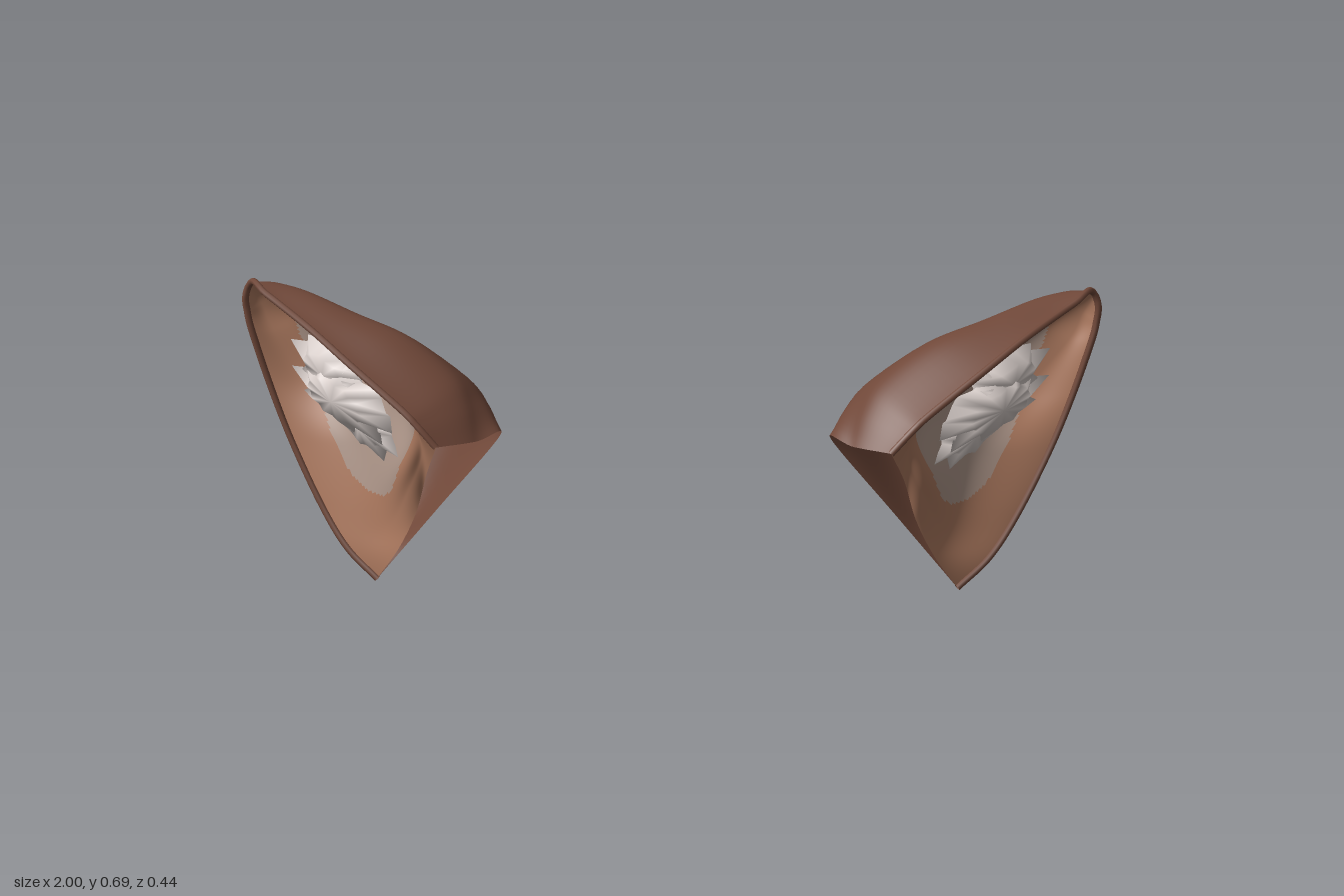
import * as THREE from 'three';

const mat = (name, color) => {
  const m = new THREE.MeshStandardMaterial({ color, side: THREE.DoubleSide });
  m.name = name;
  return m;
};

// Cross-sections from tip to base; each runs from the front rim to the back rim
const TIP = [[.945, .679, -.11], [.958, .683, -.13], [.969, .679, -.147], [.981, .665, -.156], [.99, .637, -.156]];
const FRONT = [[.928, .67, -.09], [.89, .653, -.06], [.8, .615, .02], [.7, .56, .1], [.58, .485, .175], [.54, .452, .197], [.5, .41, .211]];
const BACK = [[.988, .605, -.156], [.98, .56, -.152], [.943, .43, -.14], [.893, .3, -.11], [.82, .16, -.055], [.755, .07, -.008], [.68, .008, .03]];
const OUTER = [
  [[.91, .677, -.14], [.918, .658, -.188], [.96, .622, -.19]],
  [[.84, .663, -.13], [.86, .607, -.212], [.93, .56, -.207]],
  [[.72, .628, -.08], [.71, .5, -.205], [.83, .43, -.207]],
  [[.59, .588, -.03], [.57, .43, -.17], [.73, .3, -.185]],
  [[.48, .52, .03], [.47, .41, -.115], [.65, .2, -.143]],
  [[.44, .465, .085], [.42, .4, -.03], [.61, .125, -.083]],
  [[.42, .4, .145], [.375, .385, .06], [.53, .19, .035]],
];
const INNER = [
  [[.92, .668, -.11], [.927, .645, -.16], [.958, .62, -.173]],
  [[.86, .64, -.1], [.87, .59, -.165], [.93, .555, -.172]],
  [[.74, .59, -.04], [.73, .5, -.12], [.83, .43, -.15]],
  [[.62, .51, .06], [.63, .42, .02], [.73, .32, -.06]],
  [[.56, .425, .13], [.605, .32, .09], [.68, .21, 0]],
  [[.545, .36, .125], [.585, .26, .093], [.65, .135, .03]],
  [[.54, .305, .112], [.572, .2, .085], [.62, .1, .06]],
];
const sections = (mids) => [TIP, ...mids.map((m, i) => [FRONT[i], ...m, BACK[i]])];
const curve = (pts) => new THREE.CatmullRomCurve3(pts, false, 'catmullrom', 0.5);

// Smooth surface through the sections; pick() sorts each cell into a material group
function loft(secs, side, flip, n, pick = () => 0) {
  const cols = [];
  const rows = secs.map((s) => curve(s.map((p) => new THREE.Vector3(...p))));
  for (let j = 0; j <= n; j++) cols.push(curve(rows.map((r) => r.getPoint(j / n))));
  const pos = [], groups = [[], []];
  for (let i = 0; i <= n; i++) for (let j = 0; j <= n; j++) {
    const p = cols[j].getPoint(i / n);
    pos.push(p.x * side, p.y, p.z);
  }
  for (let i = 0; i < n; i++) for (let j = 0; j < n; j++) {
    const a = i * (n + 1) + j, b = a + 1, c = a + n + 1, d = c + 1;
    const tris = flip !== (side < 0) ? [a, b, c, b, d, c] : [a, c, b, b, c, d];
    groups[pick(Math.abs(pos[a * 3]), pos[a * 3 + 1], pos[a * 3 + 2])].push(...tris);
  }
  const g = new THREE.BufferGeometry();
  g.setAttribute('position', new THREE.Float32BufferAttribute(pos, 3));
  g.setIndex([...groups[0], ...groups[1]]);
  g.addGroup(0, groups[0].length, 0);
  g.addGroup(groups[0].length, groups[1].length, 1);
  g.computeVertexNormals();
  return g;
}

// Teardrop of paler skin in the hollow of the ear
const paleZone = (x, y, z) => {
  const aboveFront = y > .215 + 12.5 * Math.max(z, 0) ** 2;
  const aboveBack = y > .215 + 9 * Math.max(x - .68, 0) ** 2;
  return aboveFront && aboveBack && y < Math.min(.605, .585 - .9 * z) ? 1 : 0;
};

// Domed tuft with an uneven spiky outline
function tuft(side, center, width, height, lift, spikes, turn) {
  const U = new THREE.Vector3(-.77, 0, .64);
  const V = new THREE.Vector3(.45, .85, -.28).normalize();
  const N = new THREE.Vector3().crossVectors(V, U).normalize().negate();
  const pos = [], idx = [], steps = spikes * 2;
  const facing = Math.sign(N.x);
  const put = (r, t, h) => {
    const p = new THREE.Vector3(...center)
      .addScaledVector(U, Math.cos(t) * r * width)
      .addScaledVector(V, Math.sin(t) * r * height)
      .addScaledVector(N, h * facing);
    pos.push(p.x * side, p.y, p.z);
  };
  put(0, 0, lift);
  for (const ring of [0, 1]) for (let k = 0; k < steps; k++) {
    const t = turn + k / steps * Math.PI * 2, tip = k % 2 === 0;
    const wobble = .1 * Math.sin(k * 2.3 + turn * 5);
    if (ring === 0) put(.5, t, lift * (tip ? .9 : .75));
    else put(tip ? .95 + wobble : .68 + wobble, t, tip ? .005 : -.015);
  }
  const tri = (a, b, c) => idx.push(...(facing * side > 0 ? [a, b, c] : [a, c, b]));
  for (let k = 0; k < steps; k++) {
    const m = (k + 1) % steps, a = 1 + k, b = 1 + m, c = a + steps, d = b + steps;
    tri(0, a, b);
    tri(a, c, b);
    tri(b, c, d);
  }
  const g = new THREE.BufferGeometry();
  g.setAttribute('position', new THREE.Float32BufferAttribute(pos, 3));
  g.setIndex(idx);
  g.computeVertexNormals();
  return g;
}

export function createModel() {
  const brown = mat('brown fur', 0x704839);
  const tan = mat('tan inner skin', 0xb07c61);
  const pale = mat('pale inner skin', 0xb0988b);
  const white = mat('pale fluff', 0xd6ccc8);
  const model = new THREE.Group();
  model.name = 'ears';

  for (const side of [1, -1]) {
    const ear = new THREE.Group();
    ear.name = side > 0 ? 'leftEar' : 'rightEar';
    const add = (name, geometry, material) => {
      const mesh = new THREE.Mesh(geometry, material);
      mesh.name = name;
      ear.add(mesh);
    };

    add('outerShell', loft(sections(OUTER), side, true, 42), brown);
    add('innerEar', loft(sections(INNER), side, false, 110, paleZone), [tan, pale]);

    // Rounded rim from the front corner over the tip to the bottom point
    const rim = [...FRONT].reverse().concat(TIP, BACK)
      .map(([x, y, z]) => new THREE.Vector3(x * side, y, z));
    add('rim', new THREE.TubeGeometry(curve(rim), 100, .008, 8), brown);

    // Overlapping fluff in the hollow
    add('upperFluff', tuft(side, [.765, .505, -.02], .125, .105, .035, 8, .2), white);
    add('middleFluff', tuft(side, [.735, .455, .005], .165, .11, .045, 11, .5), white);
    add('lowerFluff', tuft(side, [.69, .385, .012], .1, .09, .025, 8, .1), white);
    model.add(ear);
  }
  return model;
}
